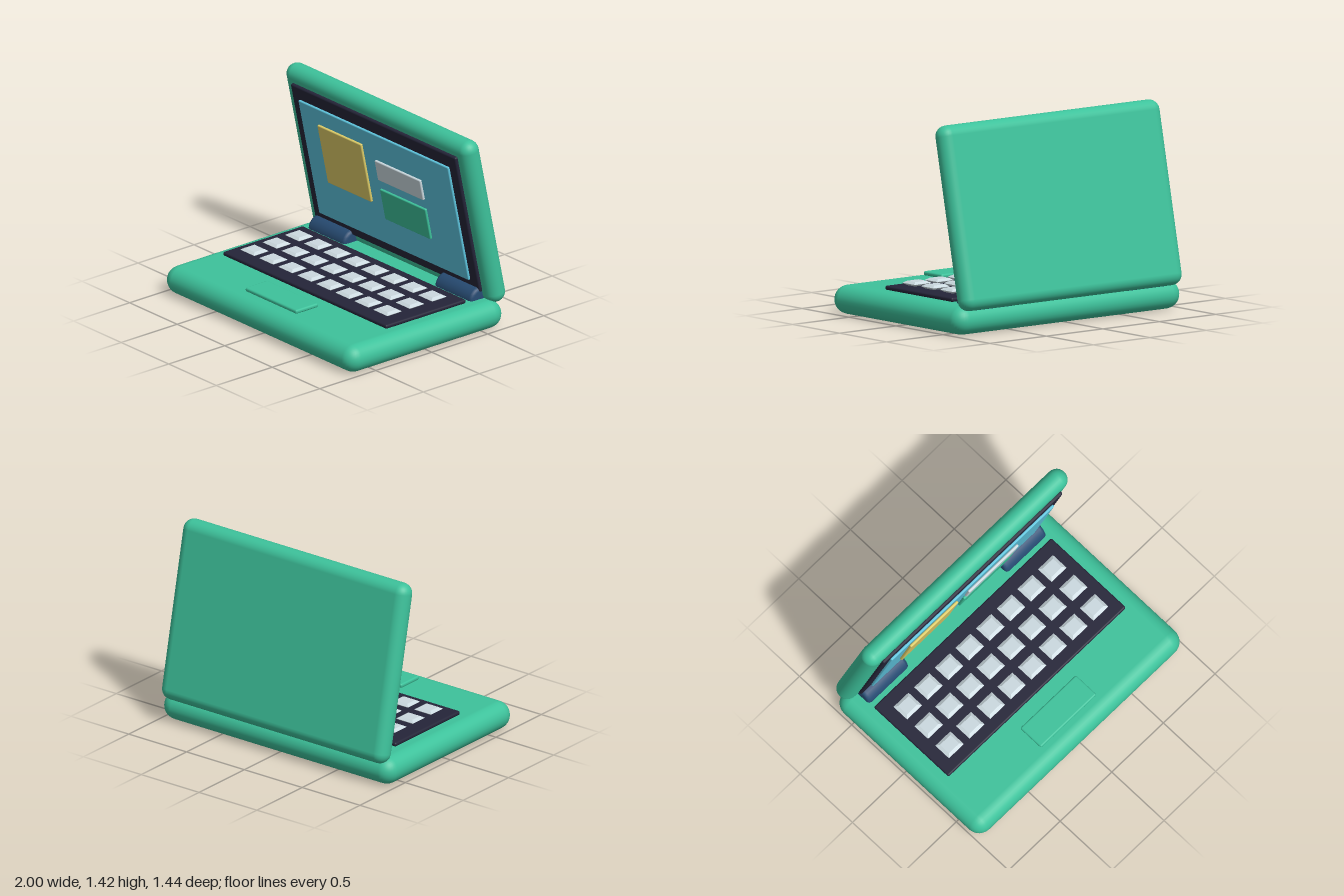
import * as THREE from 'three';
import { RoundedBoxGeometry } from 'three/addons/geometries/RoundedBoxGeometry.js';

const material = (name, color) => {
  const m = new THREE.MeshStandardMaterial({ color });
  m.name = name;
  return m;
};

export function createModel() {
  const green = material('shell green', 0x3dc29b);
  const dark = material('dark trim', 0x252539);
  const navy = material('hinge navy', 0x274b72);
  const cyan = material('screen blue', 0x5ec5de);
  const yellow = material('tile yellow', 0xdecd68);
  const grey = material('key grey', 0xcbd9df);

  const model = new THREE.Group();
  model.name = 'laptop';

  const add = (parent, name, geometry, mat, x, y, z) => {
    const mesh = new THREE.Mesh(geometry, mat);
    mesh.name = name;
    mesh.position.set(x, y, z);
    parent.add(mesh);
    return mesh;
  };
  const slab = (w, h, d, r, segments = 2) => new RoundedBoxGeometry(w, h, d, segments, r);

  // Lower half: soft base, keyboard plate and trackpad
  add(model, 'base', slab(2, 0.2, 1.395, 0.1, 4), green, 0, 0.1, 0.0225);
  add(model, 'keyboardPlate', slab(1.72, 0.03, 0.715, 0.013), dark, 0, 0.215, -0.07);
  add(model, 'trackpad', slab(0.54, 0.03, 0.2, 0.013), green, 0, 0.22, 0.49);

  // Keys: bevelled tiles with a hexagonal side profile
  const keyW = 0.145, keyD = 0.13, bevel = 0.022;
  const w = keyW / 2 - bevel, d = keyD / 2 - bevel;
  const outline = new THREE.Shape([
    new THREE.Vector2(-w, -d), new THREE.Vector2(w, -d),
    new THREE.Vector2(w, d), new THREE.Vector2(-w, d),
  ]);
  const keyGeometry = new THREE.ExtrudeGeometry(outline, {
    depth: 0.002, bevelSize: bevel, bevelThickness: 0.014, bevelSegments: 1,
  });
  keyGeometry.rotateX(-Math.PI / 2);
  const keys = new THREE.Group();
  keys.name = 'keys';
  model.add(keys);
  for (let row = 0; row < 3; row++) {
    for (let col = 0; col < 8; col++) {
      add(keys, 'key', keyGeometry, grey, -0.7 + col * 0.2, 0.249, 0.14 - row * 0.2);
    }
  }

  // Hinge barrels with softened ends
  const r = 0.092, half = 0.195, soft = 0.025;
  const barrel = new THREE.LatheGeometry([
    [0, -half], [r - soft, -half], [r - 0.007, -half + 0.007], [r, -half + soft],
    [r, half - soft], [r - 0.007, half - 0.007], [r - soft, half], [0, half],
  ].map(([x, y]) => new THREE.Vector2(x, y)), 24);
  barrel.rotateZ(Math.PI / 2);
  for (const side of [-1, 1]) {
    add(model, side > 0 ? 'leftHinge' : 'rightHinge', barrel, navy, side * 0.667, 0.194, -0.56);
  }

  // Tilted lid with bezel, screen and raised tiles
  const lid = new THREE.Group();
  lid.name = 'lid';
  lid.position.set(0, 0.795, -0.528);
  lid.rotation.x = 0.21;
  model.add(lid);
  add(lid, 'lidShell', slab(1.94, 1.275, 0.15, 0.075, 4), green, 0, 0, 0);
  add(lid, 'bezel', slab(1.735, 1.075, 0.03, 0.013), dark, 0, 0, 0.083);
  add(lid, 'screen', slab(1.575, 0.9, 0.02, 0.008), cyan, 0, -0.008, 0.106);
  add(lid, 'squareTile', slab(0.46, 0.46, 0.02, 0.008), yellow, -0.365, 0.09, 0.126);
  add(lid, 'upperTile', slab(0.48, 0.158, 0.02, 0.008), grey, 0.226, 0.159, 0.126);
  add(lid, 'lowerTile', slab(0.48, 0.24, 0.02, 0.008), green, 0.226, -0.112, 0.126);

  return model;
}
